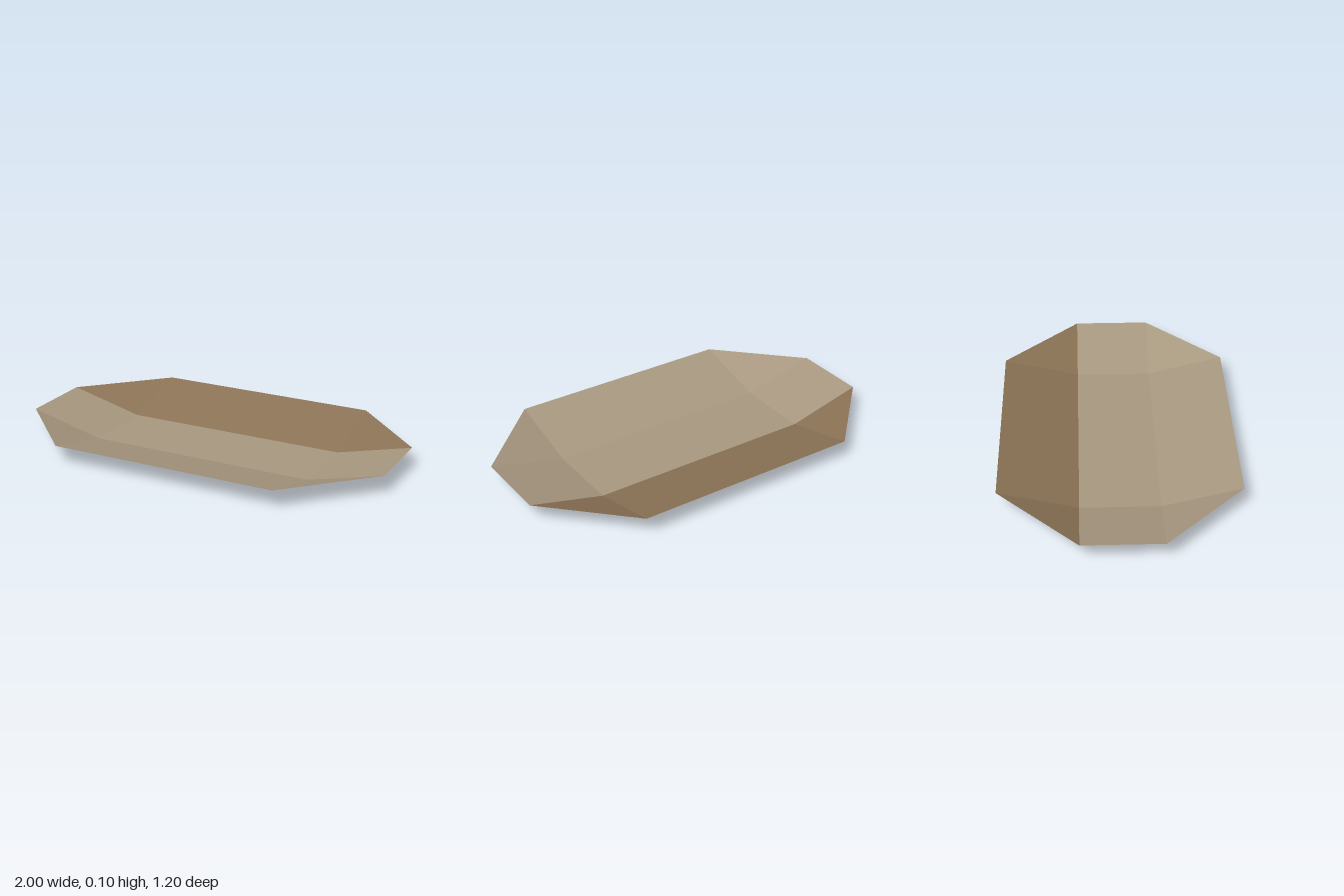
import * as THREE from 'three';

const OUT_X = 1, IN_X = 0.6, OUT_Z = 0.6, IN_Z = 0.2, RIM = 0.1;

// The floor rectangle lies at y = 0; every point outside it is on the rim
const height = (x, z) => (Math.abs(x) > IN_X + 0.01 || Math.abs(z) > IN_Z + 0.01 ? RIM : 0);

// Flat polygons given as [x, z] corners, counter-clockwise from above
function panel(name, polygons, material) {
  const pos = [];
  for (const poly of polygons) {
    for (let i = 1; i < poly.length - 1; i++) {
      for (const [x, z] of [poly[0], poly[i], poly[i + 1]]) pos.push(x, height(x, z), z);
    }
  }
  const geometry = new THREE.BufferGeometry();
  geometry.setAttribute('position', new THREE.Float32BufferAttribute(pos, 3));
  geometry.computeVertexNormals();
  const mesh = new THREE.Mesh(geometry, material);
  mesh.name = name;
  return mesh;
}

// Half turn about the vertical axis
const turn = (polygons) => polygons.map((poly) => poly.map(([x, z]) => [-x, -z]));

export function createModel() {
  const tan = new THREE.MeshStandardMaterial({ name: 'tan', color: 0xa89880, flatShading: true, side: THREE.DoubleSide });
  const brown = new THREE.MeshStandardMaterial({ name: 'brown', color: 0x8b7355, flatShading: true, side: THREE.DoubleSide });

  const floor = [[[-IN_X, -IN_Z], [-IN_X, IN_Z], [IN_X, IN_Z], [IN_X, -IN_Z]]];
  const end = [[[IN_X, -IN_Z], [IN_X, IN_Z], [OUT_X, IN_Z], [OUT_X, -IN_Z]]];
  // Long sloping side with its two triangular corners
  const side = [
    [[-IN_X, IN_Z], [-IN_X, OUT_Z], [IN_X, OUT_Z], [IN_X, IN_Z]],
    [[IN_X, IN_Z], [IN_X, OUT_Z], [OUT_X, IN_Z]],
    [[-IN_X, IN_Z], [-OUT_X, IN_Z], [-IN_X, OUT_Z]],
  ];

  const model = new THREE.Group();
  model.name = 'shallowTray';
  model.add(
    panel('floor', floor, tan),
    panel('leftEnd', end, tan),
    panel('rightEnd', turn(end), tan),
    panel('frontSide', side, tan),
    panel('backSide', turn(side), brown),
  );
  return model;
}
